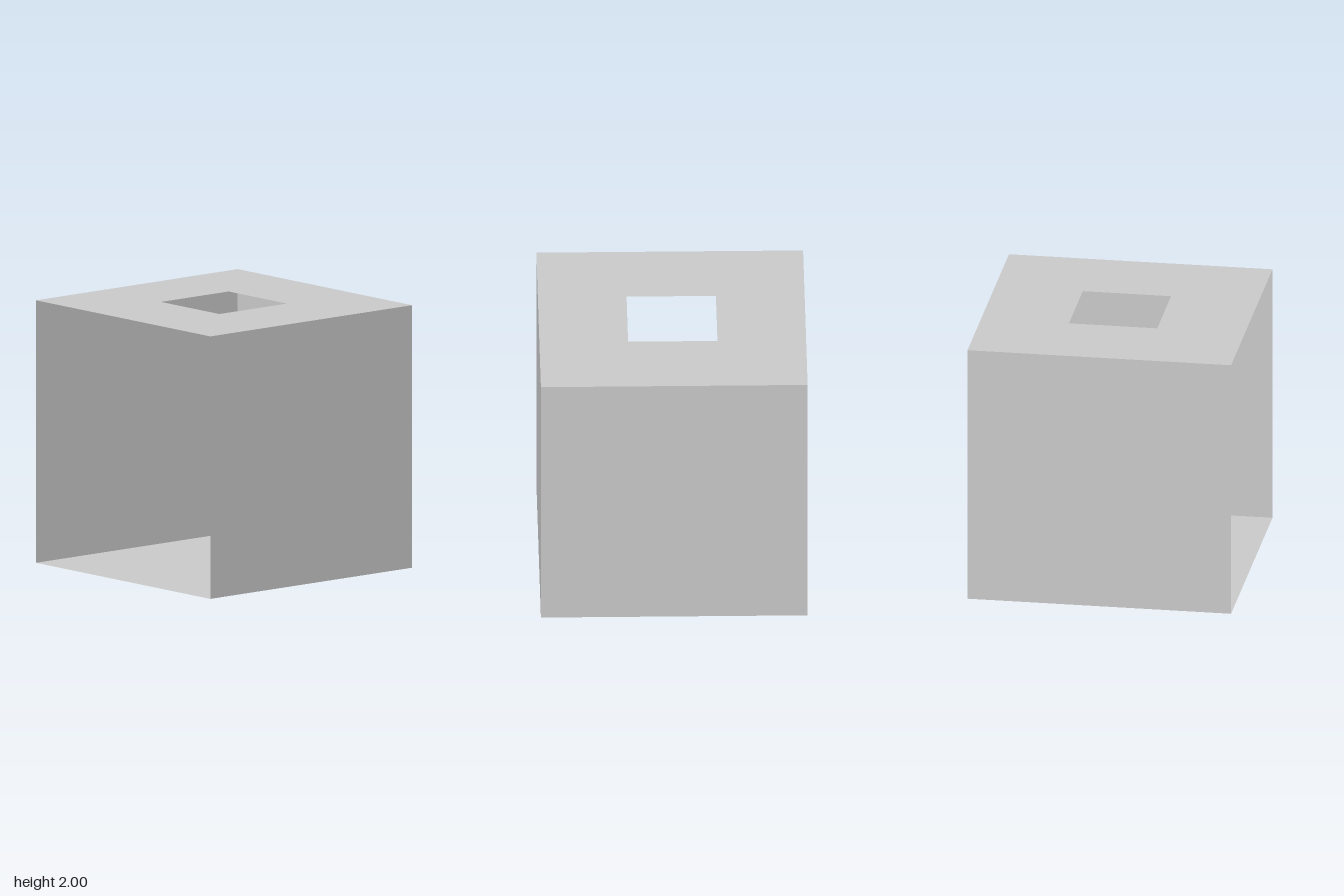
import * as THREE from 'three';

const SIZE = 2, HALF = SIZE / 2, HOLE = 0.335;

// Square outline of the given half-width, centred on the origin
function trace(path, h) {
  path.moveTo(-h, -h);
  path.lineTo(h, -h);
  path.lineTo(h, h);
  path.lineTo(-h, h);
  path.closePath();
  return path;
}

export function createModel() {
  const group = new THREE.Group();
  const material = new THREE.MeshStandardMaterial({ color: 0xcccccc, side: THREE.DoubleSide });

  const addPanel = (name, geometry, position, rotation) => {
    const mesh = new THREE.Mesh(geometry, material);
    mesh.name = name;
    mesh.position.set(...position);
    mesh.rotation.set(...rotation);
    group.add(mesh);
  };

  // Thin floor and walls; the front stays open
  const panel = new THREE.PlaneGeometry(SIZE, SIZE);
  addPanel('floor', panel, [0, 0, 0], [-Math.PI / 2, 0, 0]);
  addPanel('backWall', panel, [0, HALF, -HALF], [0, 0, 0]);
  addPanel('leftWall', panel, [HALF, HALF, 0], [0, Math.PI / 2, 0]);
  addPanel('rightWall', panel, [-HALF, HALF, 0], [0, -Math.PI / 2, 0]);

  // Ceiling with a square opening in the middle
  const ceiling = trace(new THREE.Shape(), HALF);
  ceiling.holes.push(trace(new THREE.Path(), HOLE));
  addPanel('ceiling', new THREE.ShapeGeometry(ceiling), [0, SIZE, 0], [-Math.PI / 2, 0, 0]);

  return group;
}
